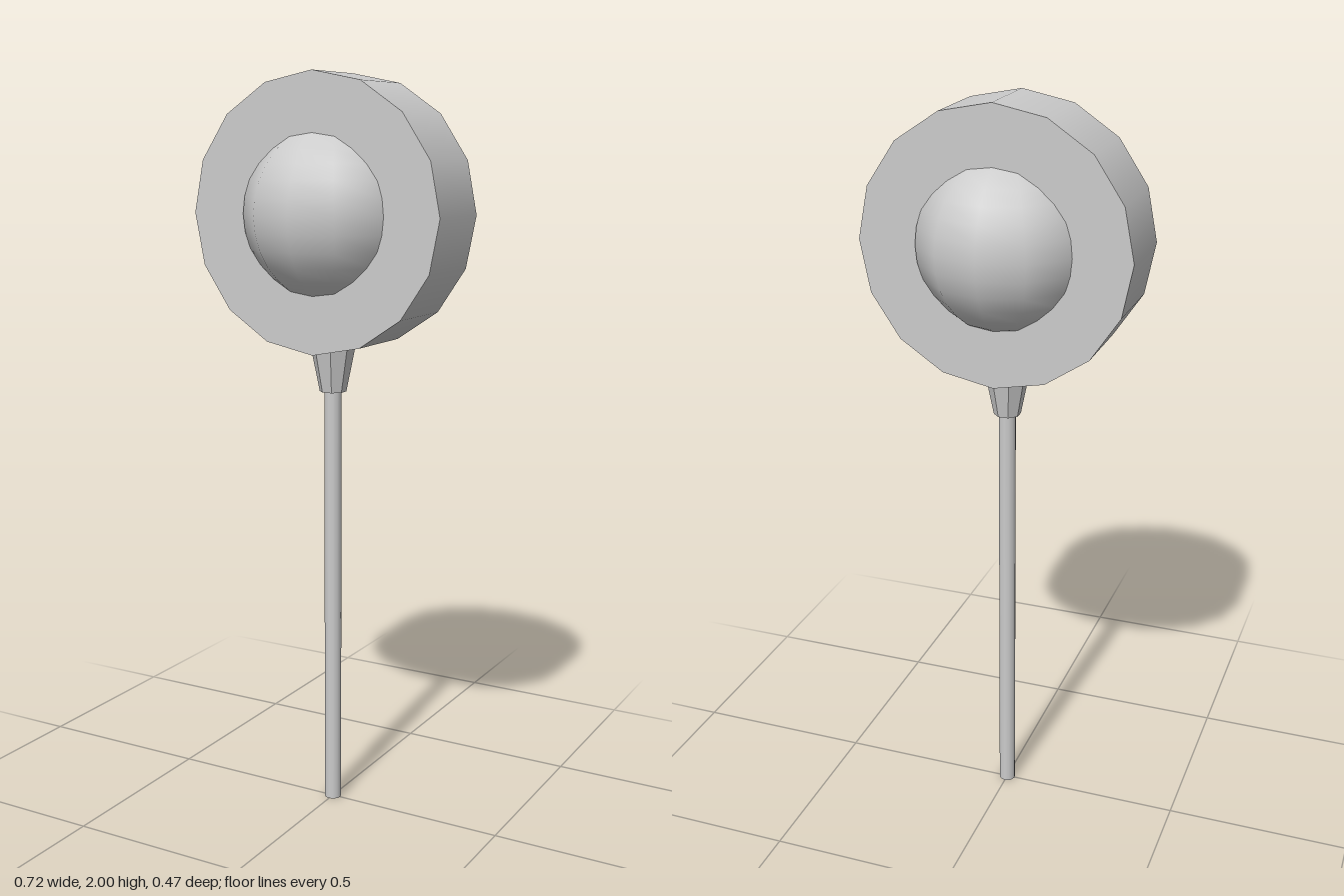
import * as THREE from 'three';

export function createModel() {
  const group = new THREE.Group();
  const smooth = new THREE.MeshStandardMaterial({ color: 0xcccccc });
  const flat = new THREE.MeshStandardMaterial({ color: 0xcccccc, flatShading: true });
  const centreY = 1.64;

  const add = (name, geometry, y, material = smooth) => {
    const mesh = new THREE.Mesh(geometry, material);
    mesh.name = name;
    mesh.position.y = y;
    group.add(mesh);
    return mesh;
  };

  // Upright 16-sided disc, flat faces to front and back
  add('disc', new THREE.CylinderGeometry(0.36, 0.36, 0.22, 16).rotateX(Math.PI / 2), centreY);

  // Ball bulging out of both faces of the disc
  add('ball', new THREE.SphereGeometry(0.235, 12, 16), centreY);

  // Faceted, tapered socket under the disc
  const socket = new THREE.CylinderGeometry(0.062, 0.036, 0.13, 8).rotateY(Math.PI / 8);
  add('socket', socket, 1.235, flat);

  // Thin round stem
  add('stem', new THREE.CylinderGeometry(0.023, 0.023, 1.2, 12), 0.6);

  return group;
}
